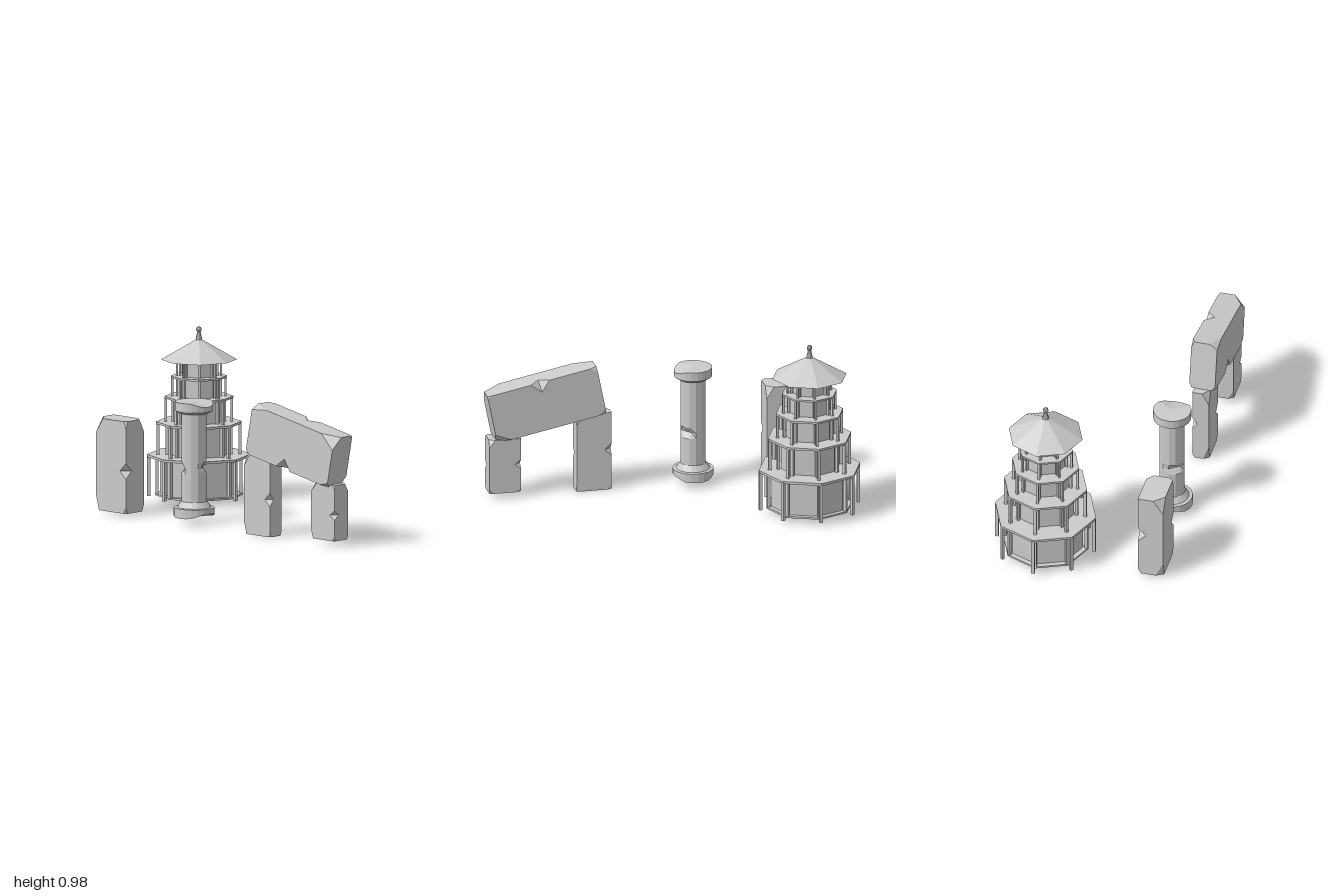
import * as THREE from 'three';

const grey = new THREE.MeshStandardMaterial({ color: 0xcccccc, flatShading: true });

function add(parent, name, geometry, x = 0, y = 0, z = 0) {
  const mesh = new THREE.Mesh(geometry, grey);
  mesh.name = name;
  mesh.position.set(x, y, z);
  parent.add(mesh);
  return mesh;
}

// Prism between two heights; eight sides have corners on the x and z axes
function prism(parent, name, r, y0, y1, sides = 8, rTop = r) {
  return add(parent, name, new THREE.CylinderGeometry(rTop, r, y1 - y0, sides), 0, (y0 + y1) / 2, 0);
}

// Ring of eight square posts at the octagon corners
function postRing(parent, name, r, y0, y1, size) {
  for (let i = 0; i < 8; i++) {
    const a = (i * Math.PI) / 4;
    const post = add(parent, name, new THREE.BoxGeometry(size, y1 - y0, size),
      Math.sin(a) * r, (y0 + y1) / 2, Math.cos(a) * r);
    post.rotation.y = a;
  }
}

function createPagoda() {
  const g = new THREE.Group();
  g.name = 'pagoda';
  // floor, ceiling, gallery radius, wall radius, post size
  const tiers = [
    [0.03, 0.26, 0.29, 0.243, 0.018],
    [0.26, 0.445, 0.238, 0.187, 0.016],
    [0.445, 0.588, 0.192, 0.152, 0.014],
    [0.588, 0.703, 0.156, 0.128, 0.012],
    [0.703, 0.797, 0.13, 0.11, 0.011],
  ];
  prism(g, 'floor', 0.245, 0.03, 0.04);
  tiers.forEach(([y0, y1, r, wall, s], i) => {
    const t = new THREE.Group();
    t.name = 'tier' + (i + 1);
    g.add(t);
    prism(t, 'walls', wall - s * 1.5, y0, y1 - 0.005);
    postRing(t, 'wallPost', wall - s / 2, y0, y1 - 0.005, s);
    postRing(t, 'galleryPost', r - s * 0.6, i ? y0 - 0.003 : 0.026, y1 - 0.005, s);
    prism(t, 'gallery', r, y1 - 0.014 + i * 0.001, y1);
  });
  prism(g, 'roof', 0.212, 0.794, 0.915, 8, 0.002);
  const finial = [[0, 0.9], [0.02, 0.9], [0.017, 0.915], [0.009, 0.95], [0.015, 0.957],
    [0.015, 0.968], [0.009, 0.977], [0, 0.978]];
  add(g, 'finial', new THREE.LatheGeometry(finial.map(p => new THREE.Vector2(...p)), 8));
  g.position.set(0.207, 0, -0.71);
  return g;
}

// Stone block with eight chipped corners and a wedge notch in two opposite edges
function stoneGeometry(w, h, d) {
  const out = [];
  const vec = (x, y, z) => new THREE.Vector3(x * w, y * h, z * d);
  // corner chips as fractions of each side, keyed by signs of x, y, z
  const chips = {
    '-1,1,-1': [0.4, 0.16, 0.24], '1,1,1': [0.24, 0.13, 0.18],
    '-1,1,1': [0.12, 0.08, 0.08], '1,1,-1': [0.04, 0.03, 0.04],
    '-1,-1,-1': [0.3, 0.17, 0.1], '1,-1,1': [0.1, 0.07, 0.1],
    '-1,-1,1': [0.1, 0.06, 0.1], '1,-1,-1': [0.12, 0.06, 0.12],
  };
  const corner = (x, y, z) => {
    const c = chips[[x, y, z]];
    return {
      x: vec(x / 2 - x * c[0], y / 2, z / 2),
      y: vec(x / 2, y / 2 - y * c[1], z / 2),
      z: vec(x / 2, y / 2, z / 2 - z * c[2]),
    };
  };
  const notch = (x, z) => {
    if (x === z) return null;
    const m = x > 0 ? 0.02 : -0.04;
    return {
      a: vec(x / 2, m + 0.085, z / 2), b: vec(x / 2, m - 0.085, z / 2),
      x: vec(x / 2 - x * 0.32, m, z / 2), z: vec(x / 2, m, z / 2 - z * 0.2),
    };
  };
  const tri = (a, b, c, dir) => {
    const n = b.clone().sub(a).cross(c.clone().sub(a));
    (n.dot(dir) > 0 ? [a, b, c] : [a, c, b]).forEach(p => out.push(p.x, p.y, p.z));
  };
  const face = (pts, u, v, dir) => {
    const flat = pts.map(p => new THREE.Vector2(p[u], p[v]));
    THREE.ShapeUtils.triangulateShape(flat, []).forEach(t => tri(pts[t[0]], pts[t[1]], pts[t[2]], dir));
  };
  // points up one edge of a side face; k is the axis running across the face
  const edge = (x, z, k) => {
    const lo = corner(x, -1, z), hi = corner(x, 1, z), n = notch(x, z);
    return [lo[k], lo.y, ...(n ? [n.b, n[k], n.a] : []), hi.y, hi[k]];
  };
  for (const s of [-1, 1]) {
    face([...edge(-1, s, 'x'), ...edge(1, s, 'x').reverse()], 'x', 'y', new THREE.Vector3(0, 0, s));
    face([...edge(s, -1, 'z'), ...edge(s, 1, 'z').reverse()], 'z', 'y', new THREE.Vector3(s, 0, 0));
    const cap = [[-1, -1], [1, -1], [1, 1], [-1, 1]].flatMap(([x, z]) => {
      const c = corner(x, s, z);
      return x === z ? [c.z, c.x] : [c.x, c.z];
    });
    face(cap, 'x', 'z', new THREE.Vector3(0, s, 0));
    for (const x of [-1, 1]) for (const z of [-1, 1]) {
      const c = corner(x, s, z);
      tri(c.x, c.y, c.z, new THREE.Vector3(x, s, z));
    }
    const n = notch(s, -s);
    tri(n.a, n.x, n.z, new THREE.Vector3(0, -1, 0));
    tri(n.b, n.x, n.z, new THREE.Vector3(0, 1, 0));
  }
  const geo = new THREE.BufferGeometry();
  geo.setAttribute('position', new THREE.Float32BufferAttribute(out, 3));
  geo.computeVertexNormals();
  return geo;
}

// Move every vertex of a geometry by a rule
function reshape(geo, rule) {
  const p = geo.attributes.position, v = new THREE.Vector3();
  for (let i = 0; i < p.count; i++) {
    rule(v.fromBufferAttribute(p, i));
    p.setXYZ(i, v.x, v.y, v.z);
  }
  geo.computeVertexNormals();
  return geo;
}

function createColumn() {
  const g = new THREE.Group();
  g.name = 'ruinedColumn';
  const lathe = (pts, n) => new THREE.LatheGeometry(pts.map(p => new THREE.Vector2(...p)), n);
  // base with a worn underside
  add(g, 'columnBase', reshape(lathe([[0, 0.035], [0.115, 0.035], [0.115, 0.088], [0.095, 0.09], [0.072, 0.123]], 20),
    v => { if (v.y < 0.04) v.y += Math.max(0, Math.abs(v.z) - 0.06) * 0.45; }));
  // shaft with two gouges
  add(g, 'columnShaft', reshape(lathe([[0.072, 0.11], [0.072, 0.28], [0.072, 0.312], [0.072, 0.345], [0.072, 0.64]], 12),
    v => {
      if (Math.abs(v.y - 0.312) > 0.01) return;
      const s = (v.x * 0.6 + v.z * 0.8), over = Math.abs(s) - 0.045;
      if (over > 0) { v.x -= Math.sign(s) * over * 0.6; v.z -= Math.sign(s) * over * 0.8; }
    }));
  // capital with a chipped front rim
  add(g, 'columnCapital', reshape(lathe([[0, 0.62], [0.085, 0.62], [0.107, 0.634], [0.107, 0.685], [0, 0.685]], 20),
    v => { if (v.y > 0.68) v.y -= Math.max(0, v.z - 0.06) * 0.5; }));
  g.position.set(-0.385, 0, -0.185);
  return g;
}

export function createModel() {
  const model = new THREE.Group();
  model.name = 'pagodaAndRuins';
  model.add(createPagoda(), createColumn());
  add(model, 'standingStone', stoneGeometry(0.145, 0.52, 0.23), -0.427, 0.275, -0.715);

  // Fallen stone gateway
  const gate = new THREE.Group();
  gate.name = 'stoneGateway';
  model.add(gate);
  add(gate, 'shortLeg', stoneGeometry(0.112, 0.315, 0.18), -0.425, 0.19, 0.893);
  add(gate, 'tallLeg', stoneGeometry(0.095, 0.455, 0.2), -0.427, 0.2275, 0.382);
  add(gate, 'lintel', stoneGeometry(0.148, 0.638, 0.286), -0.426, 0.538, 0.658)
    .rotation.x = THREE.MathUtils.degToRad(101.2);
  return model;
}
